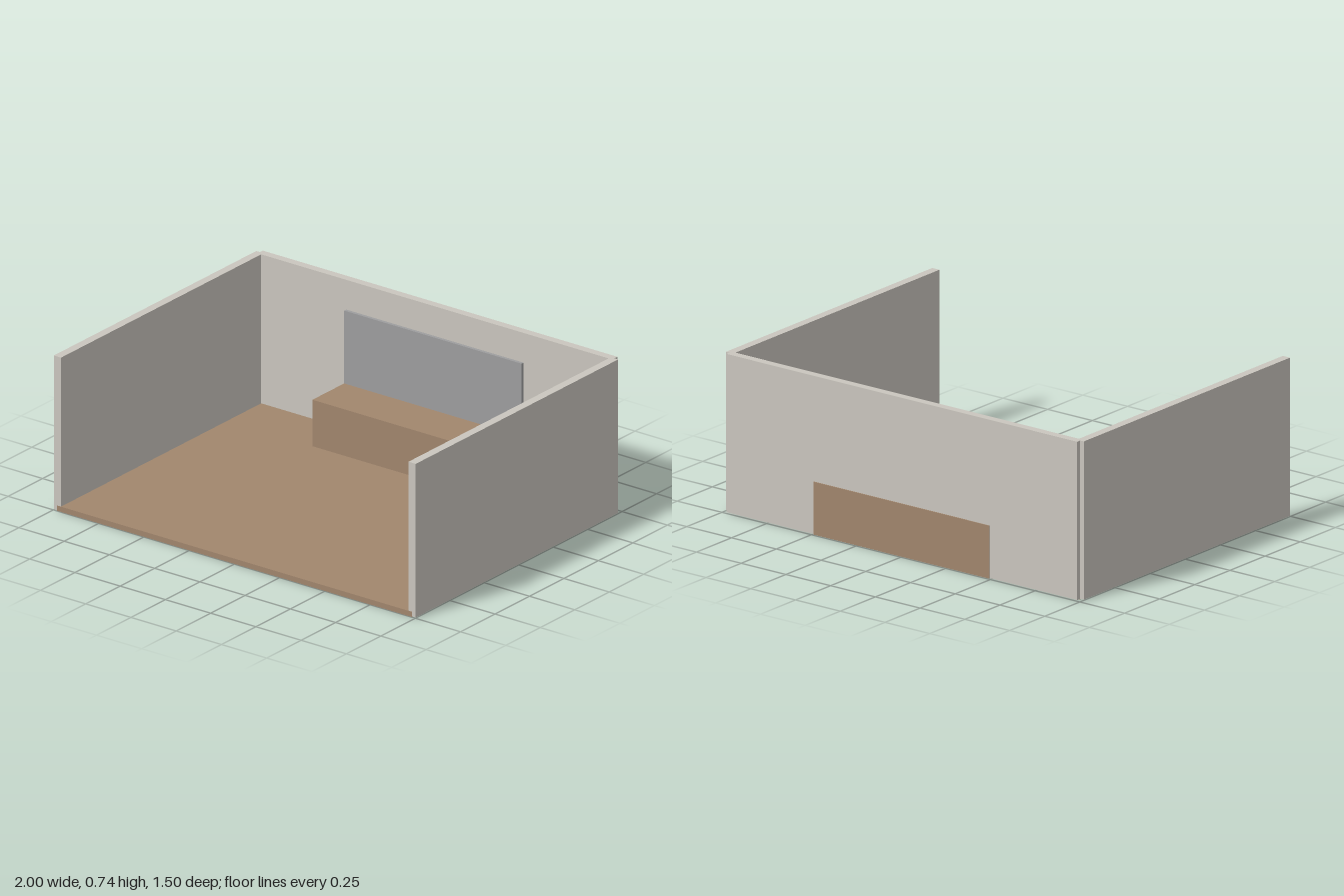
import * as THREE from 'three';

export function createModel() {
  const model = new THREE.Group();
  model.name = 'roomWithStage';

  const material = (name, color) => {
    const m = new THREE.MeshStandardMaterial({ color });
    m.name = name;
    return m;
  };
  const plaster = material('wallPlaster', 0xcac6be);
  const wood = material('wood', 0xa1866d);
  const panel = material('greyPanel', 0x9e9e9f);

  // Box given by its low and high limits on each axis
  const box = (name, mat, [x0, x1], [y0, y1], [z0, z1]) => {
    const mesh = new THREE.Mesh(new THREE.BoxGeometry(x1 - x0, y1 - y0, z1 - z0), mat);
    mesh.position.set((x0 + x1) / 2, (y0 + y1) / 2, (z0 + z1) / 2);
    mesh.name = name;
    model.add(mesh);
  };

  // Floor slab, just proud of the walls at the front and below
  box('floor', wood, [-0.98, 0.98], [0, 0.025], [-0.725, 0.748]);

  // Three walls, open at the front
  const wallHeight = [0.003, 0.737];
  box('leftWall', plaster, [0.96, 1], wallHeight, [-0.722, 0.747]);
  box('rightWall', plaster, [-1, -0.96], wallHeight, [-0.722, 0.747]);
  box('backWall', plaster, [-0.98, 0.98], wallHeight, [-0.743, -0.705]);

  // Raised stage running through the back wall, with a board above it
  box('stage', wood, [-0.49, 0.49], [0.002, 0.247], [-0.748, -0.46]);
  box('wallBoard', panel, [-0.49, 0.49], [0.247, 0.595], [-0.706, -0.69]);

  return model;
}
